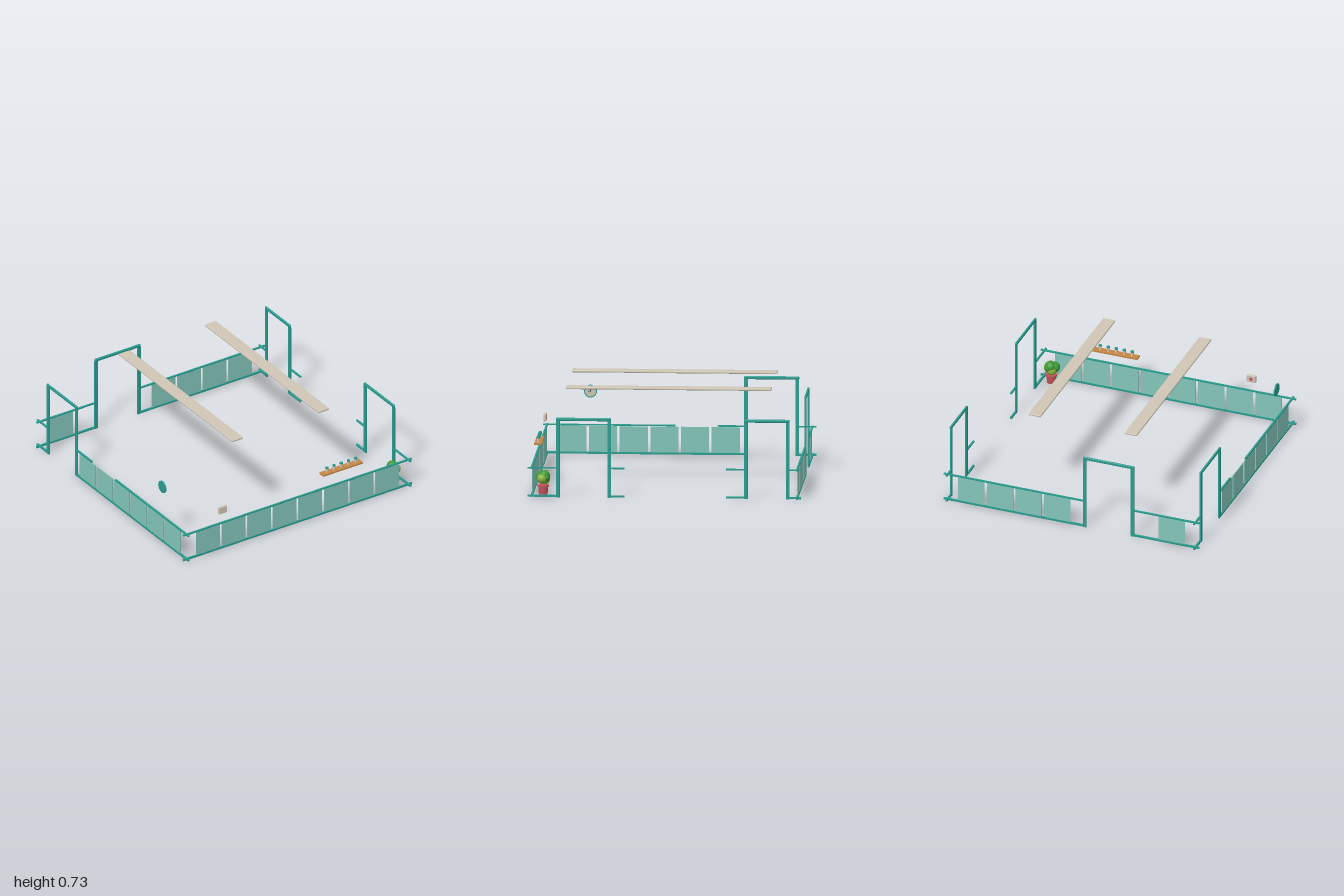
import * as THREE from 'three';
import { RoundedBoxGeometry } from 'three/addons/geometries/RoundedBoxGeometry.js';

const mat = (name, color) => new THREE.MeshStandardMaterial({ name, color });

export function createModel() {
  const root = new THREE.Group();
  root.name = 'roomShell';
  const teal = mat('teal trim', 0x2a9d8f);
  const pale = mat('pale teal panel', 0x83c5b9);
  const beige = mat('warm beige', 0xcfc5b5);
  const wood = mat('wood', 0xc68642);
  const red = mat('terracotta red', 0xc4535a);
  const green = mat('leaf green', 0x3f9a35);
  const lime = mat('lime green', 0x86b43c);
  const dark = mat('charcoal', 0x30343a);

  const add = (parent, name, geo, material, x = 0, y = 0, z = 0) => {
    const m = new THREE.Mesh(geo, material);
    m.name = name;
    m.position.set(x, y, z);
    parent.add(m);
    return m;
  };
  const box = (parent, name, w, h, d, material, x, y, z) =>
    add(parent, name, new THREE.BoxGeometry(w, h, d), material, x, y, z);
  const rounded = (parent, name, w, h, d, r, material, x, y, z) =>
    add(parent, name, new RoundedBoxGeometry(w, h, d, 2, r), material, x, y, z);

  // Walls run along local x; side walls are turned so that local x follows -z
  const WALL = 0.97, PITCH = 0.2243, PANEL = 0.206;
  const wall = (name, { lower, upper = lower, panels = [], doors = [] }, x, z, turned) => {
    const g = new THREE.Group();
    g.name = name;
    g.position.set(x, 0, z);
    if (turned) g.rotation.y = Math.PI / 2;
    for (const [a, b] of lower)
      box(g, 'lowerRail', b - a, 0.014, 0.014, teal, (a + b) / 2, 0.01, 0);
    for (const [a, b] of upper)
      box(g, 'upperRail', b - a, 0.01, 0.014, teal, (a + b) / 2, 0.217, 0);
    for (const i of panels)
      box(g, 'wallPanel', PANEL, 0.19, 0.006, pale, (i - 3.5) * PITCH, 0.113, 0);
    for (const [a, b] of doors) {
      for (const p of [a, b]) box(g, 'doorPost', 0.026, 0.568, 0.012, teal, p, 0.284, 0);
      rounded(g, 'doorLintel', b - a + 0.028, 0.024, 0.016, 0.007, teal, (a + b) / 2, 0.577, 0);
    }
    root.add(g);
  };

  wall('frontWall', { lower: [[-1, 1]], panels: [0, 1, 2, 3, 4, 5, 6, 7] }, 0, WALL, false);
  wall('backWall', {
    lower: [[-1, -0.477], [-0.103, 1]], panels: [0, 4, 5, 6, 7], doors: [[-0.477, -0.103]],
  }, 0, -WALL, false);
  wall('rightWall', {
    lower: [[-1, 0.485], [0.86, 1]],
    upper: [[-1, -0.03], [0.275, 0.485], [0.86, 1]],
    panels: [0, 1, 2, 3, 4, 5], doors: [[0.485, 0.86]],
  }, -WALL, 0, true);
  wall('leftWall', {
    lower: [[-1, -0.777], [-0.403, -0.29], [0.45, 0.597], [0.903, 1]],
    doors: [[-0.777, -0.403], [0.597, 0.903]],
  }, WALL, 0, true);

  // Ceiling strips
  for (const s of [-1, 1])
    rounded(root, 'ceilingStrip', 0.096, 0.016, 1.5, 0.006, beige, s * 0.377, 0.717, 0);

  // Wall clock facing into the room (+x)
  const clock = new THREE.Group();
  clock.name = 'wallClock';
  clock.position.set(-0.972, 0.465, 0.652);
  const disc = (name, r, t, material, x) => {
    add(clock, name, new THREE.CylinderGeometry(r, r, t, 32), material, x).rotation.z = -Math.PI / 2;
  };
  disc('clockCase', 0.047, 0.01, teal, 0);
  disc('clockFace', 0.04, 0.002, beige, 0.0055);
  box(clock, 'minuteHand', 0.002, 0.028, 0.004, dark, 0.0072, 0.013, 0);
  box(clock, 'hourHand', 0.002, 0.004, 0.02, dark, 0.0072, 0, 0.009);
  root.add(clock);

  // First aid box with a cross on its inner side
  const kit = new THREE.Group();
  kit.name = 'firstAidBox';
  kit.position.set(-0.653, 0.323, 0.965);
  rounded(kit, 'boxBody', 0.07, 0.055, 0.02, 0.004, beige, 0, 0, 0);
  box(kit, 'crossBar', 0.03, 0.01, 0.003, red, 0, 0, -0.0105);
  box(kit, 'crossUpright', 0.01, 0.03, 0.003, red, 0, 0, -0.011);
  root.add(kit);

  // Shelf with a row of lidded jars
  const shelf = new THREE.Group();
  shelf.name = 'jarShelf';
  shelf.position.set(0.399, 0, 0.947);
  box(shelf, 'shelfBoard', 0.348, 0.011, 0.056, wood, 0, 0.323, 0);
  for (let i = -2; i <= 2; i++) {
    add(shelf, 'jar', new THREE.CylinderGeometry(0.011, 0.01, 0.032, 16), beige, i * 0.063, 0.344, 0);
    add(shelf, 'jarLid', new THREE.CylinderGeometry(0.0125, 0.0125, 0.01, 16), teal, i * 0.063, 0.365, 0);
  }
  root.add(shelf);

  // Potted plant in the corner
  const plant = new THREE.Group();
  plant.name = 'pottedPlant';
  plant.position.set(0.886, 0, 0.89);
  add(plant, 'pot', new THREE.CylinderGeometry(0.037, 0.032, 0.062, 24), red, 0, 0.041, 0);
  add(plant, 'potRim', new THREE.CylinderGeometry(0.042, 0.042, 0.011, 24), red, 0, 0.073, 0);
  for (const [x, y, z, r, m] of [
    [-0.02, 0.135, 0.012, 0.041, green],
    [0.003, 0.146, -0.008, 0.042, green],
    [0.022, 0.126, 0.008, 0.037, lime],
    [-0.008, 0.118, -0.012, 0.037, lime],
    [0.014, 0.134, -0.018, 0.032, green],
  ]) add(plant, 'foliage', new THREE.SphereGeometry(r, 20, 14), m, x, y, z);
  root.add(plant);

  return root;
}
